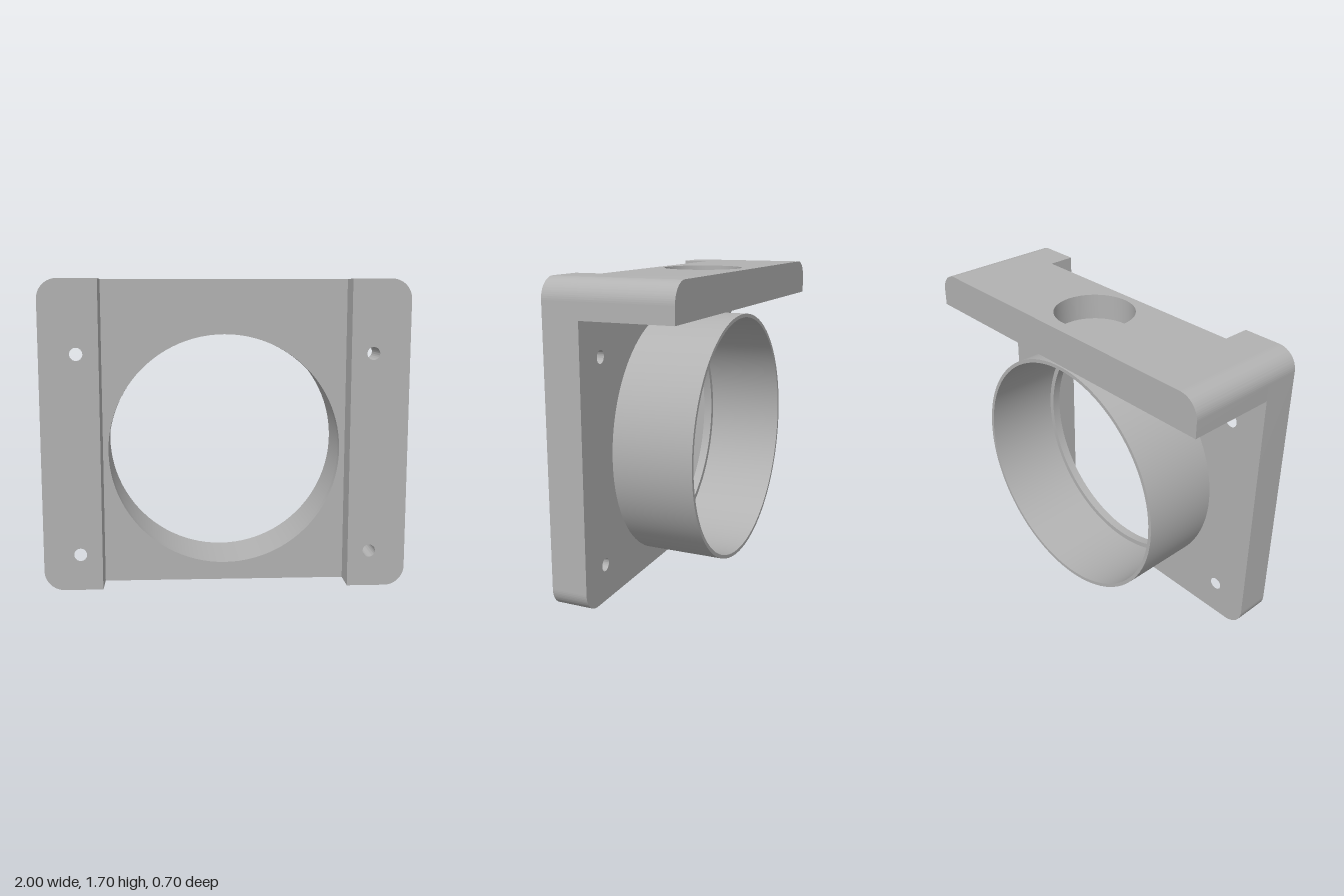
import * as THREE from 'three';
import { toCreasedNormals } from 'three/addons/utils/BufferGeometryUtils.js';

const FRONT = 0.35, BACK = -0.35, PLATE_BACK = 0.15, WEB_FRONT = 0.2;
const TOP = 1.7, SHELF_Y = 1.5, POCKET_Y = 1.56;
const RAIL_X = 0.68, BLOCK_X = 0.3, CORNER = 0.11, BORE_Y = 0.75;

function polygon(points) {
  return new THREE.Shape(points.map(([x, y]) => new THREE.Vector2(x, y)));
}

function addHole(shape, x, y, r) {
  shape.holes.push(new THREE.Path().absarc(x, y, r, 0, Math.PI * 2, true));
}

// Extrude a shape from z0 to z1 with smooth curves and sharp edges
function slab(shape, z0, z1) {
  const geo = new THREE.ExtrudeGeometry(shape, { depth: z1 - z0, bevelEnabled: false, curveSegments: 48 });
  geo.translate(0, 0, z0);
  return toCreasedNormals(geo, Math.PI / 6);
}

// Rectangle from xi out to x = 1 (side +1) or -1, with rounded outer corners
function endShape(side, xi, y0, roundBottom) {
  const s = new THREE.Shape();
  s.moveTo(side * xi, y0);
  if (roundBottom) {
    s.lineTo(side * (1 - CORNER), y0);
    s.absarc(side * (1 - CORNER), y0 + CORNER, CORNER, -Math.PI / 2, side > 0 ? 0 : -Math.PI, side < 0);
  } else {
    s.lineTo(side, y0);
  }
  s.lineTo(side, TOP - CORNER);
  s.absarc(side * (1 - CORNER), TOP - CORNER, CORNER, side > 0 ? 0 : Math.PI, Math.PI / 2, side < 0);
  s.lineTo(side * xi, TOP);
  s.closePath();
  return s;
}

export function createModel() {
  const group = new THREE.Group();
  const grey = new THREE.MeshStandardMaterial({ color: 0xb2b2b2 });
  grey.name = 'grey';
  const add = (name, geo) => {
    const mesh = new THREE.Mesh(geo, grey);
    mesh.name = name;
    group.add(mesh);
  };

  // Thin web between the rails, notched at the top for the shelf block
  const web = polygon([
    [-RAIL_X, 0], [RAIL_X, 0], [RAIL_X, TOP], [BLOCK_X, TOP], [BLOCK_X, POCKET_Y],
    [-BLOCK_X, POCKET_Y], [-BLOCK_X, TOP], [-RAIL_X, TOP],
  ]);
  addHole(web, 0, BORE_Y, 0.65);
  add('web', slab(web, PLATE_BACK, WEB_FRONT));

  // Side rails with screw holes, and the outer ends of the top shelf
  for (const side of [1, -1]) {
    const label = side > 0 ? 'left' : 'right';
    const rail = endShape(side, RAIL_X, 0, true);
    for (const y of [0.2, 1.3]) addHole(rail, side * 0.8, y, 0.035);
    add(label + 'Rail', slab(rail, PLATE_BACK, FRONT));
    add(label + 'ShelfEnd', slab(endShape(side, BLOCK_X, SHELF_Y, false), BACK, PLATE_BACK));
  }

  // Middle of the shelf with a round pocket sunk into its top
  const block = polygon([
    [-BLOCK_X, -WEB_FRONT], [BLOCK_X, -WEB_FRONT], [BLOCK_X, -BACK], [-BLOCK_X, -BACK],
  ]);
  addHole(block, 0, 0.0625, 0.2165);
  add('shelfMiddle', slab(block, POCKET_Y, TOP).rotateX(-Math.PI / 2));

  const floor = polygon([
    [-BLOCK_X, SHELF_Y], [BLOCK_X, SHELF_Y], [BLOCK_X, POCKET_Y], [-BLOCK_X, POCKET_Y],
  ]);
  add('pocketFloor', slab(floor, BACK, PLATE_BACK));

  // Thin-walled collar behind the bore
  const collar = new THREE.Shape().absarc(0, BORE_Y, 0.7, 0, Math.PI * 2, false);
  addHole(collar, 0, BORE_Y, 0.68);
  add('collar', slab(collar, -0.3, PLATE_BACK));

  return group;
}
